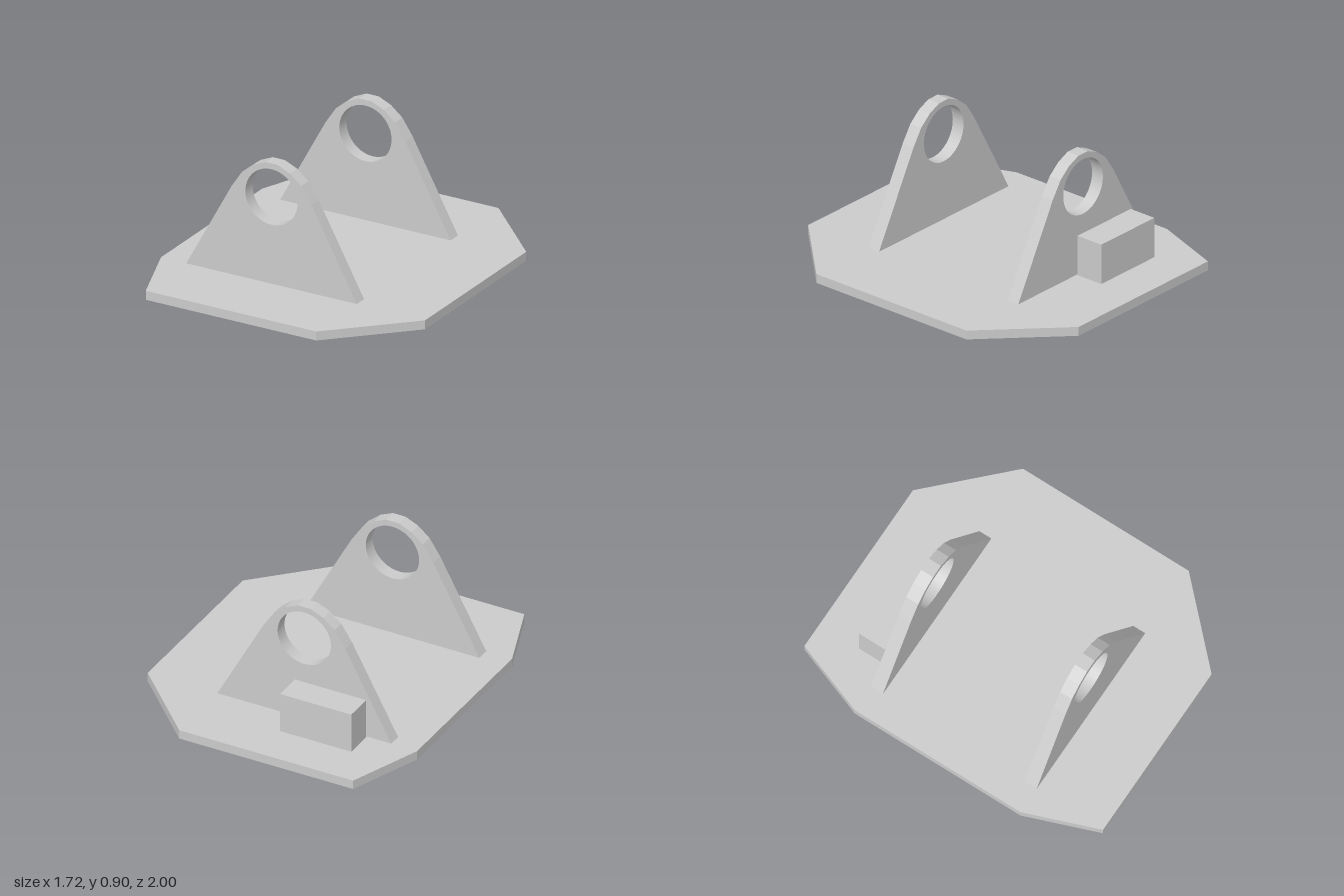
import * as THREE from 'three';

const material = new THREE.MeshStandardMaterial({ color: 0xcccccc, flatShading: true });
const AXIS_X = -0.14; // shared centre line of brackets and disc
const PLATE_BOTTOM = 0.115, PLATE_TOP = 0.17;

function addPart(group, name, geometry, x = 0, y = 0, z = 0) {
  const mesh = new THREE.Mesh(geometry, material);
  mesh.name = name;
  mesh.position.set(x, y, z);
  group.add(mesh);
  return mesh;
}

const shapeFrom = (points) => new THREE.Shape(points.map(([x, y]) => new THREE.Vector2(x, y)));

const extrude = (shape, depth) =>
  new THREE.ExtrudeGeometry(shape, { depth, bevelEnabled: false, curveSegments: 40 });

export function createModel() {
  const model = new THREE.Group();
  model.name = 'mountingBracket';

  // Base plate: rectangle with clipped corners, larger on the left
  const plateHalf = [[-0.695, -1], [0.415, -1], [0.86, -0.555]];
  const plateShape = shapeFrom([
    ...plateHalf, [0.86, 0.555], [0.415, 1], [-0.695, 1], [-0.86, 0.555], [-0.86, -0.555],
  ]);
  const plate = extrude(plateShape, PLATE_TOP - PLATE_BOTTOM).rotateX(-Math.PI / 2);
  addPart(model, 'basePlate', plate, 0, PLATE_BOTTOM, 0);

  // Round foot under the plate
  const foot = new THREE.CylinderGeometry(0.425, 0.425, PLATE_BOTTOM, 18).rotateY(Math.PI / 2);
  addPart(model, 'footDisc', foot, AXIS_X, PLATE_BOTTOM / 2, 0);

  // Upright lugs: mirrored outline around the centre line, with a round eye
  const side = [[0.555, PLATE_TOP], [0.26, 0.71], [0.193, 0.81], [0.12, 0.87], [0.04, 0.905]];
  const lugShape = shapeFrom([...side, ...side.map(([x, y]) => [-x, y]).reverse()]);
  lugShape.holes.push(new THREE.Path().absarc(0, 0.7, 0.17, 0, Math.PI * 2, true));
  const lug = extrude(lugShape, 0.08).translate(0, 0, -0.04);
  addPart(model, 'frontLug', lug, AXIS_X, 0, 0.515);
  addPart(model, 'backLug', lug, AXIS_X, 0, -0.515);

  // Small block behind the back lug
  const blockHeight = 0.245;
  const block = new THREE.BoxGeometry(0.455, blockHeight, 0.175);
  addPart(model, 'rearBlock', block, -0.312, PLATE_TOP + blockHeight / 2, -0.65);

  return model;
}
